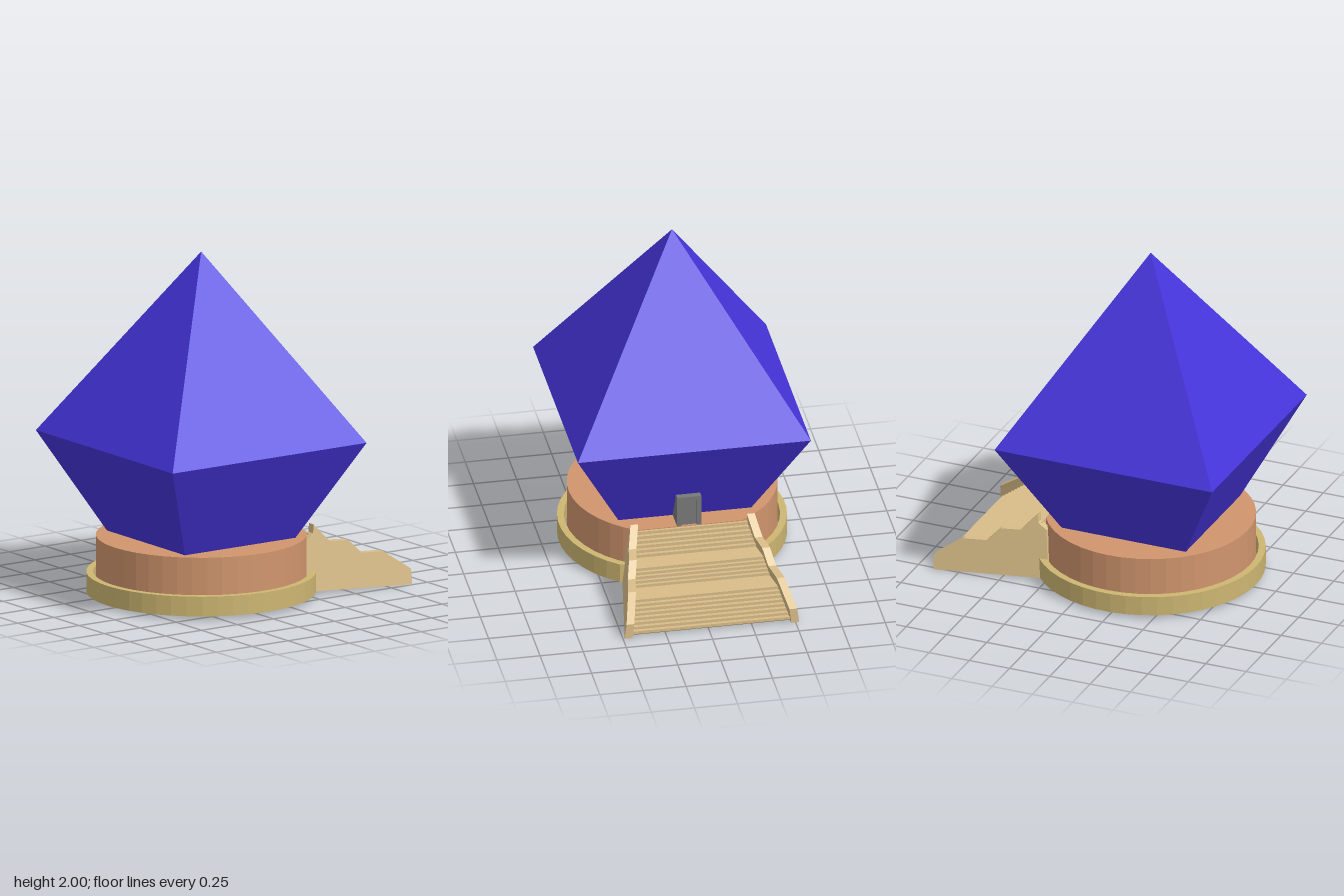
import * as THREE from 'three';

const CZ = 0.223;          // z of the round base and crystal centre
const CUT = 0.518;         // distance from centre to the flat cut at the back
const STAIR_X = -0.015;    // the stairway sits slightly off centre

const mat = (color, side = THREE.FrontSide) =>
  new THREE.MeshStandardMaterial({ color, flatShading: true, side });
const blue = mat(0x4634dc);
const copper = mat(0xd0956d);
const brass = mat(0xcdb672);
const sand = mat(0xd9bd88, THREE.DoubleSide);
const grey = mat(0x787878);

function add(group, name, geometry, material, x = 0, y = 0, z = 0) {
  const mesh = new THREE.Mesh(geometry, material);
  mesh.name = name;
  mesh.position.set(x, y, z);
  group.add(mesh);
  return mesh;
}

// Points of a circle with its back sliced off flat
function cutArc(r, n = 36) {
  const a = Math.asin(CUT / r);
  return Array.from({ length: n + 1 }, (_, i) => {
    const t = Math.PI - a + (i / n) * (Math.PI + 2 * a);
    return new THREE.Vector2(r * Math.cos(t), r * Math.sin(t));
  });
}

function extrudeUp(points, height) {
  return new THREE.ExtrudeGeometry(new THREE.Shape(points), { depth: height, bevelEnabled: false })
    .rotateX(-Math.PI / 2);
}

// Extrudes a side profile of [distance back, height] and places each vertex's x by a rule
function sideExtrude(profile, thickness, xRule) {
  const shape = new THREE.Shape(profile.map(([u, v]) => new THREE.Vector2(u, v)));
  const geo = new THREE.ExtrudeGeometry(shape, { depth: thickness, bevelEnabled: false });
  const p = geo.attributes.position;
  for (let i = 0; i < p.count; i++) {
    const u = p.getX(i), v = p.getY(i), w = p.getZ(i) - thickness / 2;
    p.setXYZ(i, STAIR_X + xRule(u, v, w), v, -u);
  }
  geo.computeVertexNormals();
  return geo;
}

// Half width of the stairway: flares outward to the back, leans inward with height
const halfWidth = (u, v) => 0.3325 + 0.167 * u - 0.12 * v;

function createStairs() {
  const stairs = new THREE.Group();
  stairs.name = 'stairway';

  // Side walls
  const wall = [
    [0.235, 0.02], [0.26, 0.31], [0.31, 0.35], [0.315, 0.4], [0.41, 0.295], [0.525, 0.29],
    [0.6, 0.21], [0.735, 0.205], [0.9, 0.09], [0.9, 0],
  ];
  for (const s of [1, -1]) {
    add(stairs, s > 0 ? 'leftStairWall' : 'rightStairWall',
      sideExtrude(wall, 0.045, (u, v, w) => s * halfWidth(u, v) + w), sand);
  }

  // Three flights with landings between them: [start, end, low, high, steps]
  const flights = [
    [0.885, 0.735, 0.015, 0.15, 8],
    [0.6, 0.53, 0.15, 0.235, 5],
    [0.41, 0.31, 0.235, 0.345, 6],
  ];
  const top = [];
  const under = [];
  for (const [u0, u1, v0, v1, n] of flights) {
    for (let i = 0; i < n; i++) {
      const u = u0 + ((u1 - u0) * i) / (n - 1);
      top.push([u, v0 + ((v1 - v0) * i) / n], [u, v0 + ((v1 - v0) * (i + 1)) / n]);
    }
    under.push([u0 - 0.015, v0 - 0.012], [u1 - 0.015, v1 - 0.03]);
  }
  top.push([0.295, 0.345]);
  under[under.length - 1] = [0.295, 0.315];
  add(stairs, 'steps',
    sideExtrude([...top, ...under.reverse()], 1, (u, v, w) => 2 * w * halfWidth(u, v)), sand);
  return stairs;
}

function createDoorway() {
  const door = new THREE.Group();
  door.name = 'doorway';
  const h = 0.185, d = 0.14;
  for (const s of [1, -1]) {
    add(door, 'doorPost', new THREE.BoxGeometry(0.025, h, d), grey, s * 0.0575, h / 2, d / 2);
  }
  add(door, 'doorLintel', new THREE.BoxGeometry(0.09, 0.025, d), grey, 0, h - 0.0125, d / 2);
  add(door, 'doorPanel', new THREE.BoxGeometry(0.09, h - 0.025, d - 0.012), grey,
    0, (h - 0.025) / 2, d / 2 + 0.006);
  door.position.set(0, 0.35, CZ - CUT);
  return door;
}

export function createModel() {
  const model = new THREE.Group();
  model.name = 'crystalBuilding';

  // Square crystal: flaring lower part and pointed roof
  const R = Math.SQRT2;
  const lower = new THREE.CylinderGeometry(0.675 * R, 0.385 * R, 0.57, 4, 1, true).rotateY(Math.PI / 4);
  const roof = new THREE.ConeGeometry(0.675 * R, 1.08, 4, 1, true).rotateY(Math.PI / 4);
  add(model, 'crystalLower', lower, blue, 0, 0.635, CZ);
  add(model, 'crystalRoof', roof, blue, 0, 1.46, CZ);

  // Round drum and the open ring around its foot
  add(model, 'drum', extrudeUp(cutArc(0.6), 0.31), copper, 0, 0.04, CZ);
  const ring = [...cutArc(0.655), ...cutArc(0.615).reverse()];
  add(model, 'baseRing', extrudeUp(ring, 0.115), brass, 0, 0.02, CZ);

  model.add(createStairs(), createDoorway());
  return model;
}
